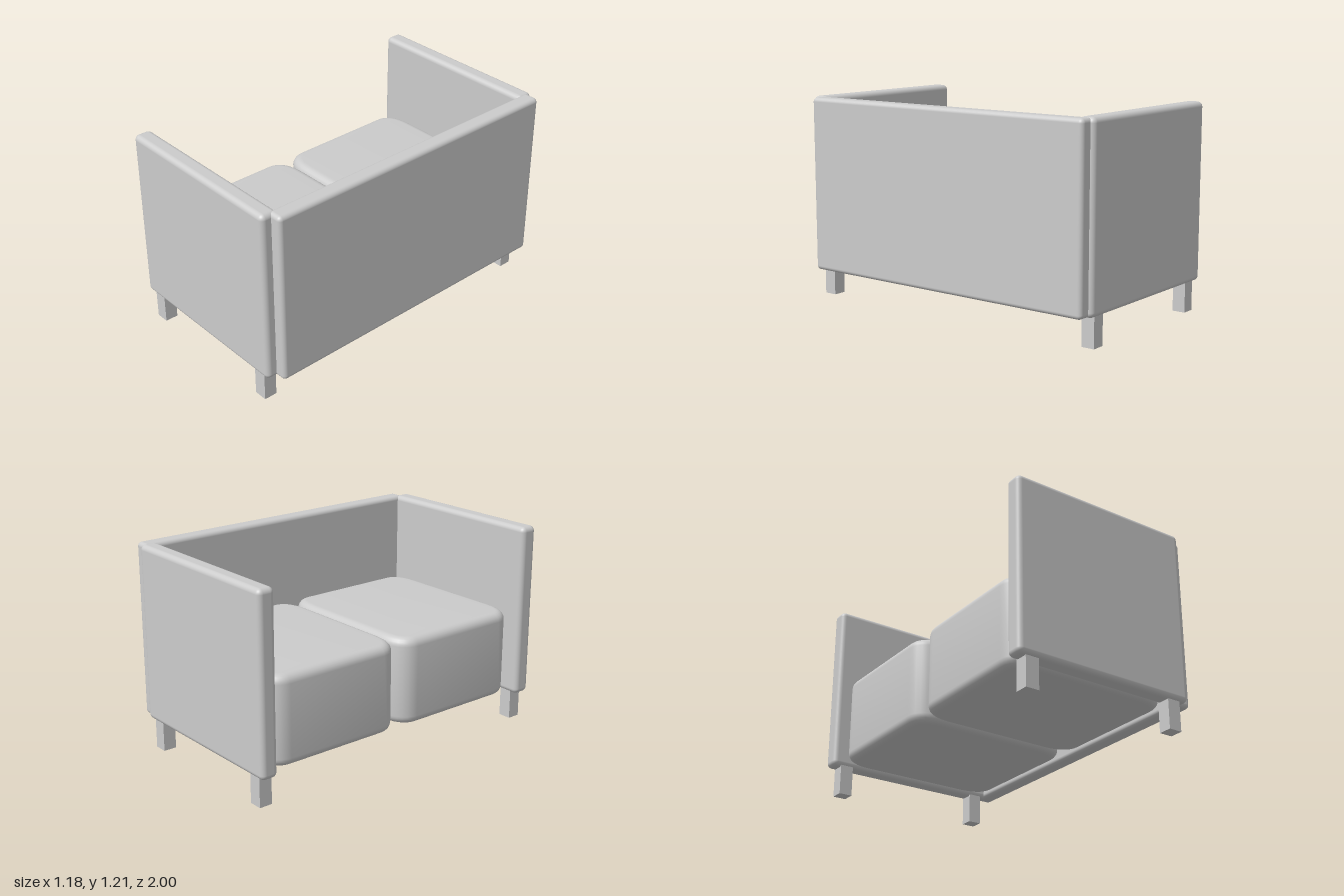
import * as THREE from 'three';
import { RoundedBoxGeometry } from 'three/addons/geometries/RoundedBoxGeometry.js';
import { toCreasedNormals } from 'three/addons/utils/BufferGeometryUtils.js';

export function createModel() {
  const group = new THREE.Group();
  const material = new THREE.MeshStandardMaterial({ color: 0xcccccc });

  function addMesh(name, geometry, x, y, z) {
    const mesh = new THREE.Mesh(geometry, material);
    mesh.name = name;
    mesh.position.set(x, y, z);
    group.add(mesh);
  }

  // Padded panel between two opposite corners
  function addPanel(name, [x0, y0, z0], [x1, y1, z1], radius) {
    const geometry = new RoundedBoxGeometry(x1 - x0, y1 - y0, z1 - z0, 5, radius);
    addMesh(name, geometry, (x0 + x1) / 2, (y0 + y1) / 2, (z0 + z1) / 2);
  }

  // Cushion: plan outline with long soft corners, extruded upwards with a rounded rim
  function cushionGeometry(width, height, depth) {
    const rim = 0.05;
    const a = width / 2 - rim;
    const b = depth / 2 - rim;
    const cx = 0.14; // corner length along x
    const cz = 0.08; // corner length along z
    const outline = new THREE.Shape();
    outline.moveTo(-a + cx, -b);
    outline.lineTo(a - cx, -b);
    outline.bezierCurveTo(a - cx * 0.35, -b, a, -b + cz * 0.35, a, -b + cz);
    outline.lineTo(a, b - cz);
    outline.bezierCurveTo(a, b - cz * 0.35, a - cx * 0.35, b, a - cx, b);
    outline.lineTo(-a + cx, b);
    outline.bezierCurveTo(-a + cx * 0.35, b, -a, b - cz * 0.35, -a, b - cz);
    outline.lineTo(-a, -b + cz);
    outline.bezierCurveTo(-a, -b + cz * 0.35, -a + cx * 0.35, -b, -a + cx, -b);
    const geometry = new THREE.ExtrudeGeometry(outline, {
      depth: height - 2 * rim,
      bevelSize: rim,
      bevelThickness: rim,
      bevelSegments: 6,
      curveSegments: 8,
    });
    geometry.translate(0, 0, rim - height / 2);
    geometry.rotateX(-Math.PI / 2);
    return toCreasedNormals(geometry, 0.7);
  }

  // Two arms and the backrest along +x
  addPanel('armNear', [-0.592, 0.171, 0.893], [0.525, 1.206, 1], 0.03);
  addPanel('armFar', [-0.592, 0.171, -1], [0.521, 1.206, -0.896], 0.03);
  addPanel('backrest', [0.491, 0.174, -0.977], [0.59, 1.204, 0.939], 0.025);

  // Two thick seat cushions, side by side
  const cushion = cushionGeometry(1.022, 0.52, 0.897);
  addMesh('seatCushionNear', cushion, -0.034, 0.438, 0.445);
  addMesh('seatCushionFar', cushion, -0.034, 0.438, -0.452);

  // Four square legs under the arms
  const leg = new THREE.BoxGeometry(0.08, 0.2, 0.078);
  for (const x of [-0.499, 0.431]) {
    for (const z of [-0.943, 0.943]) addMesh('leg', leg, x, 0.1, z);
  }
  return group;
}
